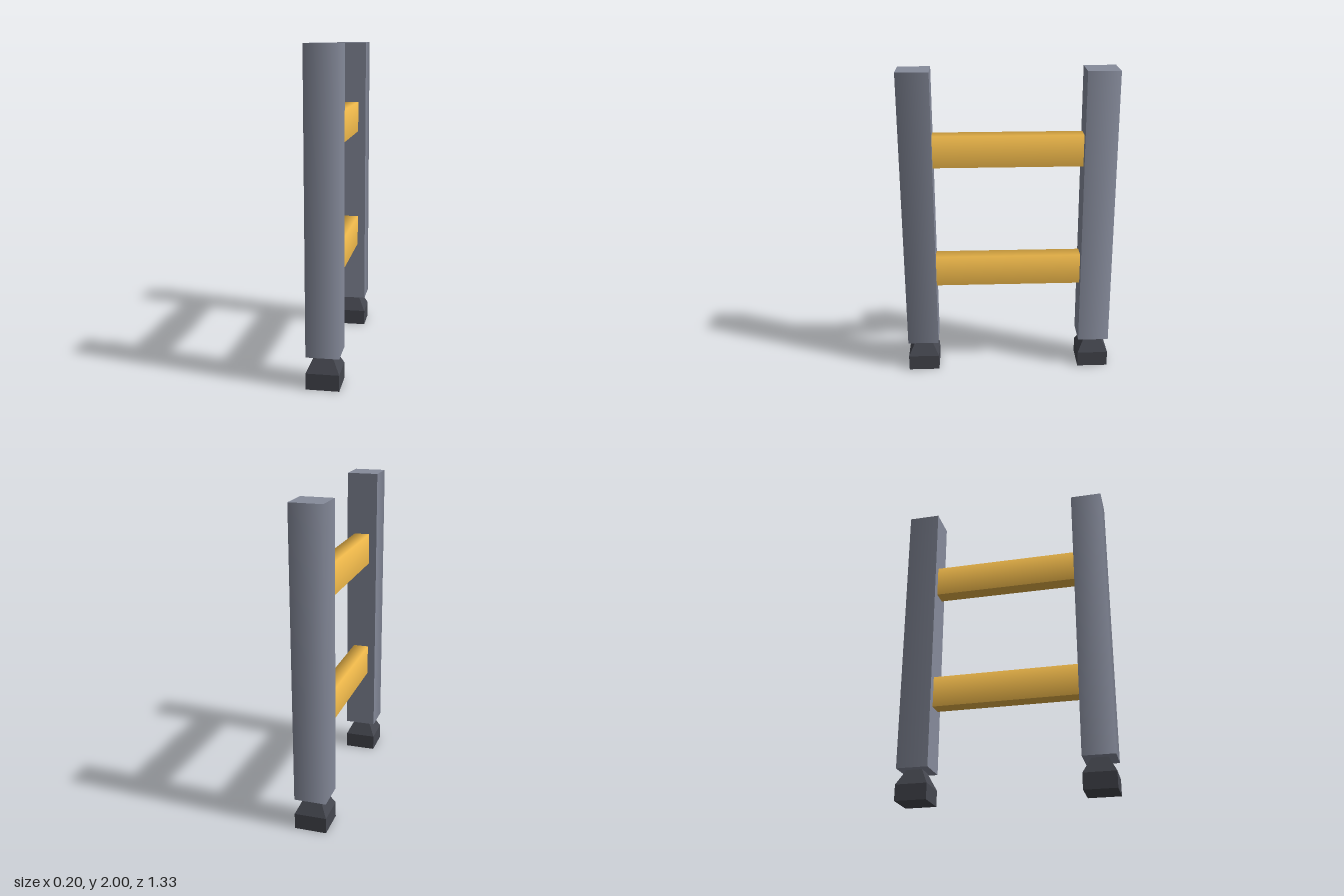
import * as THREE from 'three';

const steel = new THREE.MeshStandardMaterial({ color: 0x868b9b });
const yellow = new THREE.MeshStandardMaterial({ color: 0xe8b348 });
const rubber = new THREE.MeshStandardMaterial({ color: 0x45474f, flatShading: true });

// Box whose two side faces (+x, -x) shade smoothly into the face pointing along `dir`
function softBox(w, h, d, dir) {
  const geo = new THREE.BoxGeometry(w, h, d);
  const pos = geo.attributes.position, nor = geo.attributes.normal;
  const p = new THREE.Vector3(), n = new THREE.Vector3();
  for (let i = 0; i < pos.count; i++) {
    p.fromBufferAttribute(pos, i);
    n.fromBufferAttribute(nor, i);
    if (Math.abs(n.x) < 0.5 && n.dot(dir) < 0.5) continue;
    n.set(Math.sign(p.x), 0, 0);
    if (p.dot(dir) > 0) n.add(dir);
    n.normalize();
    nor.setXYZ(i, n.x, n.y, n.z);
  }
  return geo;
}

function addPart(group, name, geo, material, y, z) {
  const mesh = new THREE.Mesh(geo, material);
  mesh.name = name;
  mesh.position.set(0, y, z);
  group.add(mesh);
}

export function createModel() {
  const model = new THREE.Group();
  model.name = 'ladderSection';
  const width = 0.2, postZ = 0.567;

  // Square foot with a tapered neck
  const r = (width / 2) * Math.SQRT2;
  const footProfile = [[0, 0], [r, 0], [r, 0.1], [r / 2, 0.2], [0, 0.2]]
    .map(([x, y]) => new THREE.Vector2(x, y));
  const footGeo = new THREE.LatheGeometry(footProfile, 4, Math.PI / 4);

  // Upright posts on feet, front and back
  for (const [label, s] of [['front', 1], ['back', -1]]) {
    const outward = new THREE.Vector3(0, 0, s);
    addPart(model, label + 'Post', softBox(width, 1.8, width, outward), steel, 1.1, s * postZ);
    addPart(model, label + 'Foot', footGeo, rubber, 0, s * postZ);
  }

  // Flat rungs between the posts
  const rungGeo = softBox(0.1, 0.2, 2 * postZ - width, new THREE.Vector3(0, 1, 0));
  addPart(model, 'lowerRung', rungGeo, yellow, 0.7, 0);
  addPart(model, 'upperRung', rungGeo, yellow, 1.5, 0);
  return model;
}
